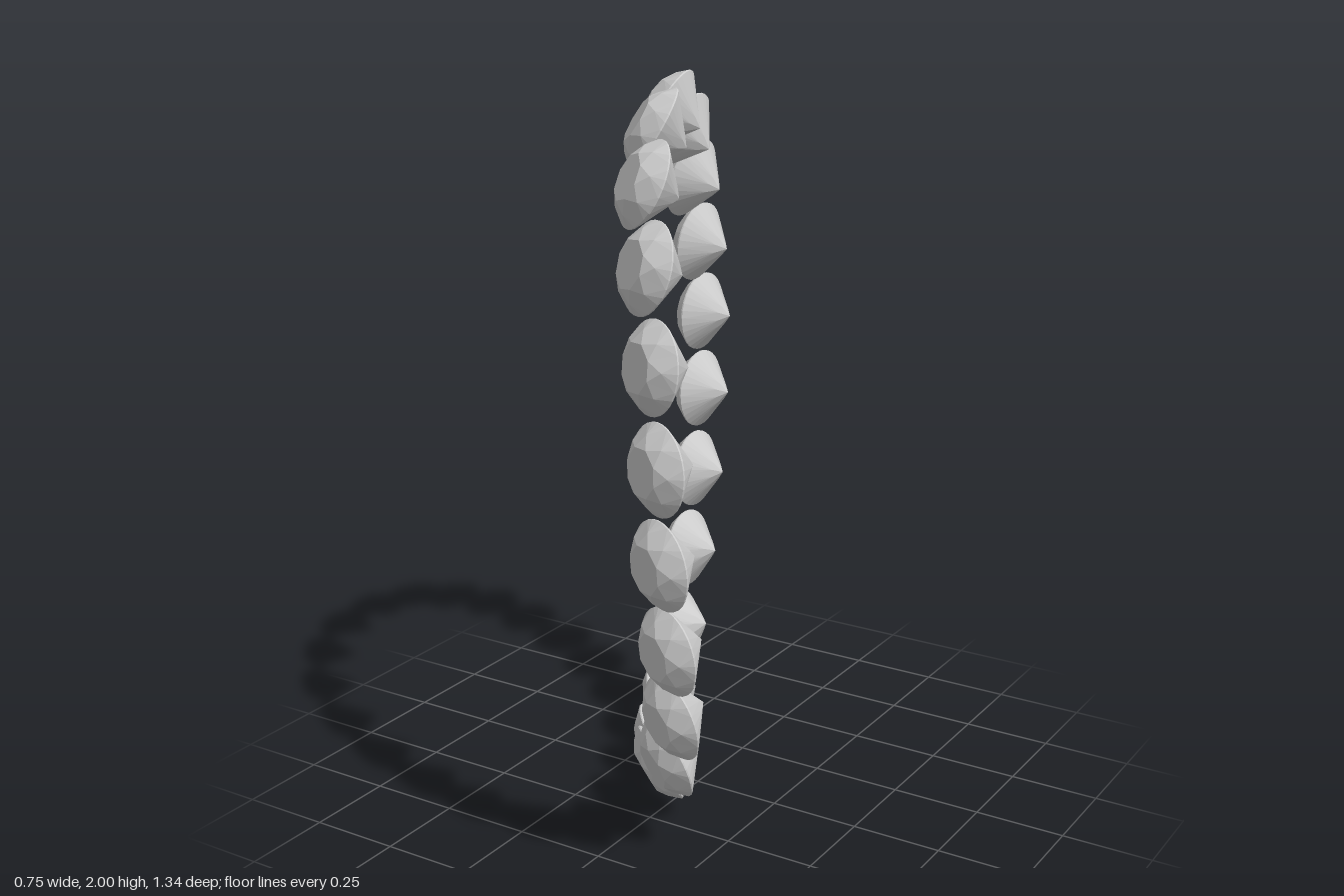
import * as THREE from 'three';

const R = 0.115;      // girdle radius
const EDGE = 0.002;   // half thickness of the girdle
const STEP = 4;       // girdle segments per main facet

// One round brilliant-cut stone, table towards +y, centred on its girdle
function brilliantGeometry() {
  const pos = [];
  const at = (turn, r, h) => {
    const a = turn * Math.PI / 4;
    return [r * Math.cos(a), h, -r * Math.sin(a)];
  };
  // convex facet as a triangle fan, counter-clockwise from outside
  const facet = (...p) => {
    for (let k = 1; k < p.length - 1; k++) pos.push(...p[0], ...p[k], ...p[k + 1]);
  };
  const table = i => at(i, 0.063, 0.049);
  const crown = i => at(i + 0.5, 0.09, 0.031);
  const lower = i => at(i + 0.5, 0.03, -0.074);
  const rim = (t, s) => at(t, R, s * EDGE);
  const culet = [0, -0.097, 0];

  for (let i = 0; i < 8; i++) {
    facet([0, 0.049, 0], table(i), table(i + 1));                  // table
    facet(table(i), crown(i), table(i + 1));                       // star
    facet(table(i), crown(i - 1), rim(i, 1), crown(i));            // crown kite
    facet(culet, lower(i), rim(i, -1), lower(i - 1));              // pavilion main
    for (let k = 0; k < STEP; k++) {
      const a = i + k / STEP, b = i + (k + 1) / STEP;
      facet(crown(i), rim(a, 1), rim(b, 1));                       // upper girdle
      facet(rim(a, 1), rim(a, -1), rim(b, -1), rim(b, 1));         // girdle
      facet(lower(i), rim(b, -1), rim(a, -1));                     // lower girdle
    }
  }
  const geo = new THREE.BufferGeometry();
  geo.setAttribute('position', new THREE.Float32BufferAttribute(pos, 3));
  geo.computeVertexNormals();
  return geo;
}

// Stones around the bent loop: centre x, y, z, then facing direction x, y, z
const STONES = [
  [-0.095, 1.902, -0.010, -0.86, 0.47, 0.20],
  [-0.183, 1.817, -0.210, -0.88, 0.46, 0.03],
  [-0.255, 1.660, -0.376, -0.96, 0.28, 0.00],
  [-0.303, 1.452, -0.492, -0.99, 0.13, 0.00],
  [-0.327, 1.230, -0.550, -1.00, 0.04, 0.00],
  [-0.331, 0.992, -0.548, -1.00, 0.00, 0.00],
  [-0.327, 0.749, -0.513, -1.00, -0.03, 0.00],
  [-0.312, 0.516, -0.447, -0.99, -0.08, 0.00],
  [-0.283, 0.304, -0.347, -0.97, -0.23, 0.04],
  [-0.220, 0.153, -0.185, -0.88, -0.42, 0.20],
  [-0.122, 0.110, 0.013, -0.73, -0.47, 0.48],
  [0.002, 0.154, 0.198, -0.60, -0.47, 0.64],
  [0.132, 0.272, 0.362, -0.48, -0.33, 0.81],
  [0.220, 0.455, 0.480, -0.41, -0.20, 0.89],
  [0.263, 0.675, 0.560, -0.40, -0.10, 0.91],
  [0.267, 0.913, 0.600, -0.41, -0.05, 0.91],
  [0.266, 1.155, 0.608, -0.43, 0.03, 0.90],
  [0.238, 1.394, 0.585, -0.45, 0.12, 0.88],
  [0.179, 1.610, 0.515, -0.48, 0.28, 0.83],
  [0.088, 1.780, 0.385, -0.55, 0.42, 0.72],
  [-0.005, 1.884, 0.203, -0.67, 0.52, 0.53],
];

export function createModel() {
  const model = new THREE.Group();
  model.name = 'gemstoneLoop';
  const geometry = brilliantGeometry();
  const material = new THREE.MeshStandardMaterial({ color: 0xcccccc, flatShading: true });
  const up = new THREE.Vector3(0, 1, 0);
  STONES.forEach(([x, y, z, nx, ny, nz], i) => {
    const stone = new THREE.Mesh(geometry, material);
    stone.name = `gemstone${i + 1}`;
    stone.position.set(x, y, z);
    stone.quaternion.setFromUnitVectors(up, new THREE.Vector3(nx, ny, nz).normalize());
    model.add(stone);
  });
  return model;
}
